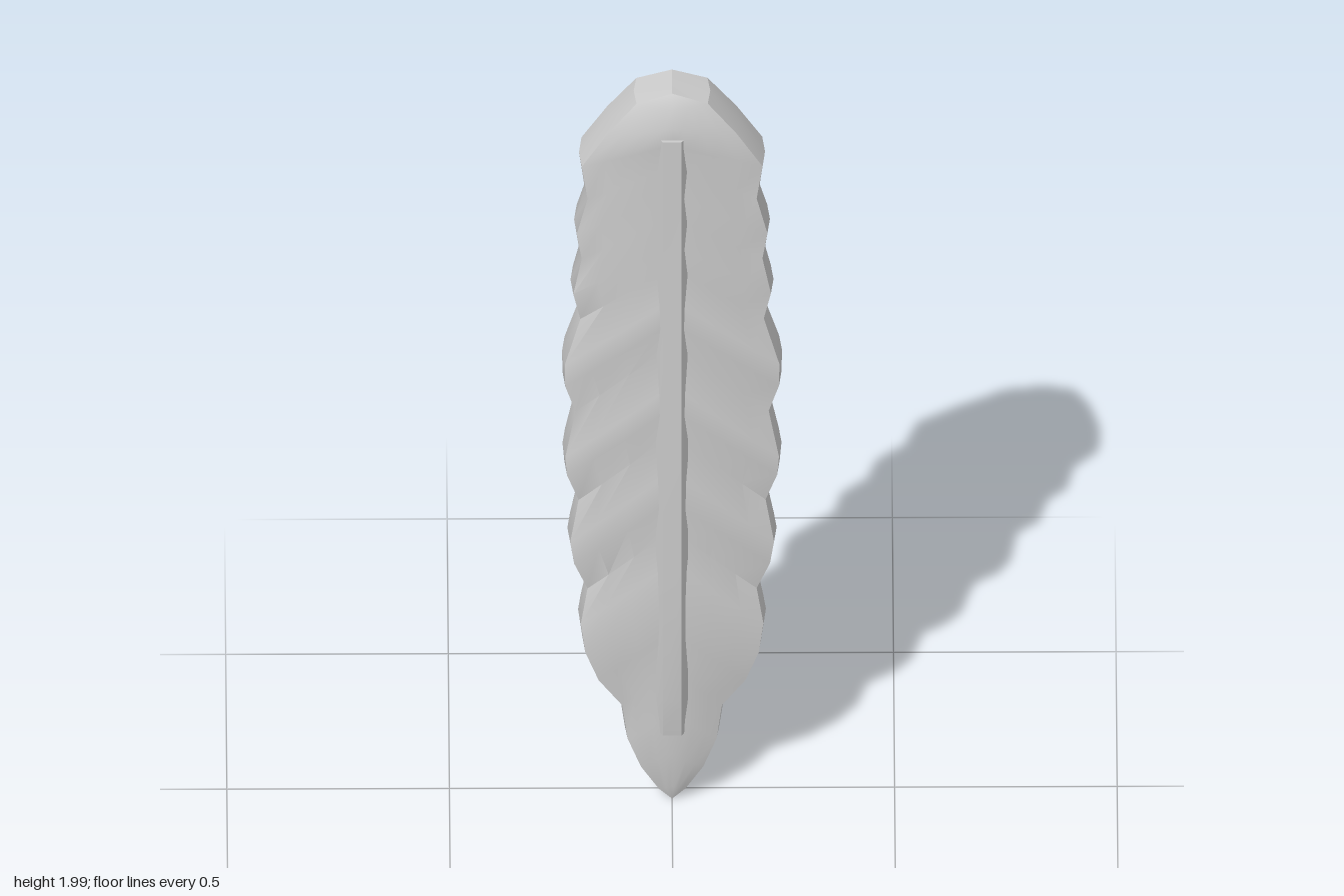
import * as THREE from 'three';
import { toCreasedNormals } from 'three/addons/utils/BufferGeometryUtils.js';

// Closed skin over equal-length loops of [x, y, z], listed from bottom to top
function loft(loops, capped) {
  const n = loops[0].length, index = [];
  for (let i = 0; i < loops.length - 1; i++)
    for (let j = 0; j < n; j++) {
      const a = i * n + j, b = i * n + (j + 1) % n;
      index.push(a, a + n, b, b, a + n, b + n);
    }
  if (capped) {
    const top = (loops.length - 1) * n;
    for (let j = 1; j < n - 1; j++) index.push(0, j, j + 1, top, top + j + 1, top + j);
  }
  const g = new THREE.BufferGeometry();
  g.setAttribute('position', new THREE.Float32BufferAttribute(loops.flat(2), 3));
  g.setIndex(index);
  return toCreasedNormals(g, 0.45);
}

// Barb rows: edge x, edge y, y at the centre line, rim half depth, centre half depth
const rows = [
  [0, 0.005, 0.005, 0.04, 0.04],
  [0.03, 0.035, 0.05, 0.042, 0.054],
  [0.07, 0.1, 0.15, 0.046, 0.063],
  [0.1, 0.18, 0.27, 0.047, 0.072],
  [0.112, 0.27, 0.4, 0.042, 0.07],
  [0.165, 0.35, 0.51, 0.054, 0.081],
  [0.195, 0.43, 0.61, 0.056, 0.083],
  [0.205, 0.51, 0.7, 0.054, 0.08],
  [0.19, 0.6, 0.79, 0.042, 0.07],
  [0.22, 0.68, 0.88, 0.055, 0.083],
  [0.229, 0.74, 0.96, 0.054, 0.08],
  [0.21, 0.85, 1.06, 0.042, 0.07],
  [0.236, 0.93, 1.14, 0.056, 0.083],
  [0.24, 0.98, 1.2, 0.054, 0.08],
  [0.217, 1.1, 1.31, 0.042, 0.068],
  [0.24, 1.18, 1.38, 0.055, 0.08],
  [0.241, 1.24, 1.44, 0.053, 0.077],
  [0.206, 1.36, 1.53, 0.041, 0.066],
  [0.222, 1.44, 1.6, 0.054, 0.076],
  [0.203, 1.53, 1.67, 0.042, 0.066],
  [0.214, 1.61, 1.74, 0.054, 0.076],
  [0.19, 1.7, 1.81, 0.043, 0.066],
  [0.203, 1.8, 1.88, 0.055, 0.078],
  [0.145, 1.89, 1.92, 0.052, 0.076],
  [0.08, 1.972, 1.965, 0.048, 0.062],
  [0, 1.998, 1.998, 0.045, 0.045],
];

// Blade cross-section: a lens with a flat rim that bulges slightly at mid depth
function bladeLoop([ex, ey, cy, rim, mid]) {
  const across = [1, 0.75, 0.45, 0.15, 0, -0.15, -0.45, -0.75, -1];
  const face = (u, side) => {
    const k = 1 - Math.abs(u);
    return [ex * u, ey + (cy - ey) * k, side * (rim + (mid - rim) * Math.sin(k * Math.PI / 2))];
  };
  const out = ex > 0 ? 0.006 : 0;
  return [
    [ex + out, ey, 0], ...across.map(u => face(u, 1)),
    [-ex - out, ey, 0], ...across.map(u => face(-u, -1)),
  ];
}

// Central rib: y, half depth; flat crest with sloping flanks on both faces
const ribPath = [[0.21, 0.076], [0.32, 0.092], [0.65, 0.097], [1, 0.096], [1.3, 0.089], [1.6, 0.086], [1.89, 0.084]];
function ribLoop([y, d]) {
  const quarter = [[0.036, d - 0.024], [0.021, d]];
  return [
    ...quarter.map(([x, z]) => [x, y, z]),
    ...quarter.slice().reverse().map(([x, z]) => [-x, y, z]),
    ...quarter.map(([x, z]) => [-x, y, -z]),
    ...quarter.slice().reverse().map(([x, z]) => [x, y, -z]),
  ];
}

export function createModel() {
  const group = new THREE.Group();
  group.name = 'feather';
  const material = new THREE.MeshStandardMaterial({ color: 0xcccccc });
  const add = (name, geometry) => {
    const mesh = new THREE.Mesh(geometry, material);
    mesh.name = name;
    group.add(mesh);
  };
  add('blade', loft(rows.map(bladeLoop), false));
  add('centralRib', loft(ribPath.map(ribLoop), true));
  return group;
}
